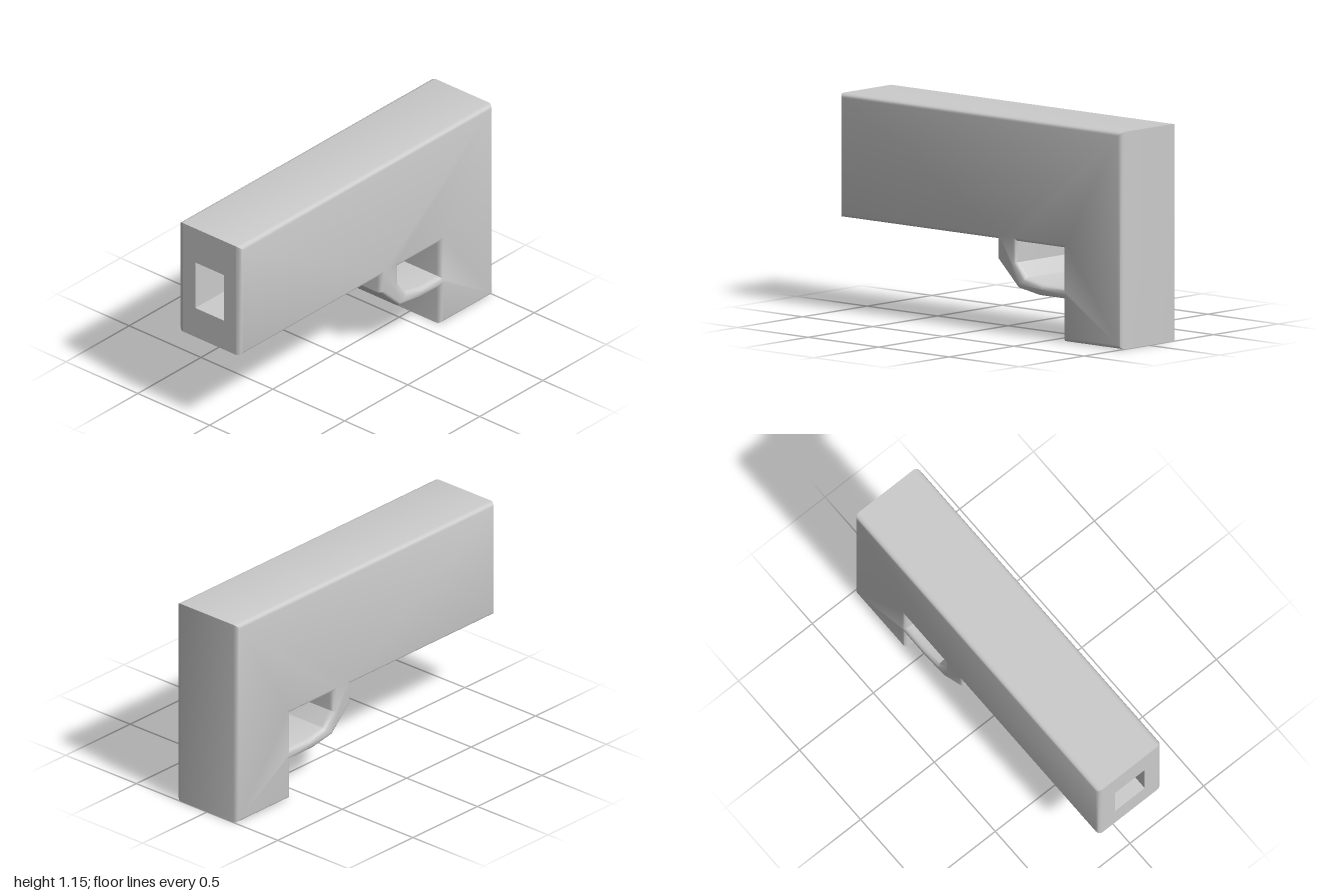
import * as THREE from 'three';
import { toCreasedNormals } from 'three/addons/utils/BufferGeometryUtils.js';

const HALF_WIDTH = 0.215, BEVEL_X = 0.03, BEVEL = 0.022;
const TOP = 1.15, BOTTOM = 0.495, FRONT = 1, BACK = -1, GRIP = -0.585;
const BORE = { width: 0.2, low: 0.67, high: 0.945, depth: 1 };

const points = (list) => list.map(([a, b]) => new THREE.Vector2(a, b));

// Drops the flat front end so that a pierced plate can take its place
function withoutFrontEnd(geometry) {
  const p = geometry.getAttribute('position');
  const kept = [];
  for (let i = 0; i < p.count; i += 3) {
    if ([0, 1, 2].every((k) => p.getZ(i + k) > FRONT - 1e-4)) continue;
    for (let k = 0; k < 3; k++) kept.push(p.getX(i + k), p.getY(i + k), p.getZ(i + k));
  }
  const result = new THREE.BufferGeometry();
  result.setAttribute('position', new THREE.Float32BufferAttribute(kept, 3));
  return toCreasedNormals(result, 0.6);
}

export function createModel() {
  const model = new THREE.Group();
  const grey = new THREE.MeshStandardMaterial({ color: 0xcccccc });
  const greyDouble = new THREE.MeshStandardMaterial({ color: 0xcccccc, side: THREE.DoubleSide });
  const add = (name, geometry, material = grey) => {
    const mesh = new THREE.Mesh(geometry, material);
    mesh.name = name;
    model.add(mesh);
    return mesh;
  };

  // Side outline (z, y): long barrel block, curved guard and grip in one piece
  const outline = new THREE.Shape(points([
    [FRONT, BOTTOM], [FRONT, TOP], [BACK, TOP], [BACK, 0], [GRIP, 0],
    [GRIP, 0.225], [-0.41, 0.225], [-0.26, 0.25], [-0.115, 0.39], [-0.115, BOTTOM],
  ]));
  // Finger opening between the guard and the grip
  outline.holes.push(new THREE.Path(points([
    [-0.255, BOTTOM], [GRIP, BOTTOM], [GRIP, 0.285],
    [-0.44, 0.285], [-0.32, 0.31], [-0.255, 0.385],
  ])));
  const depth = 2 * (HALF_WIDTH - BEVEL_X);
  const body = new THREE.ExtrudeGeometry(outline, {
    depth, bevelEnabled: true, bevelThickness: BEVEL_X,
    bevelSize: BEVEL, bevelOffset: -BEVEL, bevelSegments: 3,
  });
  body.translate(0, 0, -depth / 2).rotateY(-Math.PI / 2);
  add('bodyWithGripAndGuard', withoutFrontEnd(body));

  // Front plate pierced by the rectangular bore
  const w = depth / 2, b = BORE.width / 2;
  const plate = new THREE.Shape(points([[-w, BOTTOM], [w, BOTTOM], [w, TOP], [-w, TOP]]));
  plate.holes.push(new THREE.Path(points([
    [-b, BORE.low], [-b, BORE.high], [b, BORE.high], [b, BORE.low],
  ])));
  add('muzzlePlate', new THREE.ShapeGeometry(plate)).position.z = FRONT;

  // Bore walls and end, open at the front
  const bore = new THREE.BoxGeometry(BORE.width, BORE.high - BORE.low, BORE.depth);
  const index = Array.from(bore.index.array);
  index.splice(24, 6);
  bore.setIndex(index);
  bore.clearGroups();
  add('bore', bore, greyDouble).position.set(0, (BORE.low + BORE.high) / 2, FRONT - BORE.depth / 2);

  return model;
}
